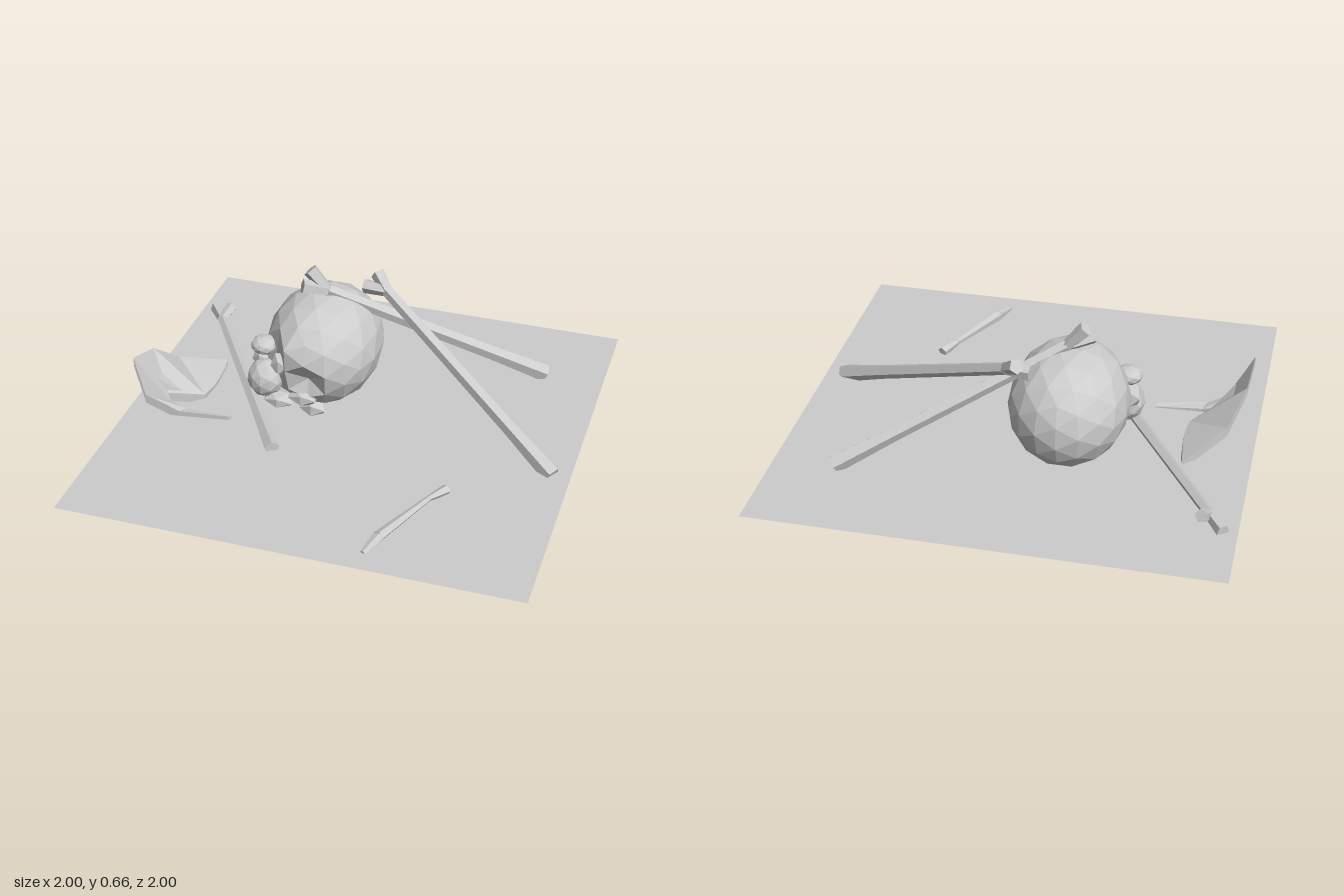
import * as THREE from 'three';

const grey = new THREE.MeshStandardMaterial({ color: 0xcccccc, flatShading: true, side: THREE.DoubleSide });
grey.name = 'boneGrey';

const V = (p) => new THREE.Vector3(...p);

function add(group, geometry, name) {
  const mesh = new THREE.Mesh(geometry, grey);
  mesh.name = name;
  group.add(mesh);
  return mesh;
}

// Tapered five-sided rod from a to b
function rod(group, name, a, b, ra, rb) {
  const from = V(a), to = V(b);
  const dir = to.clone().sub(from);
  const mesh = add(group, new THREE.CylinderGeometry(rb, ra, dir.length(), 5), name);
  mesh.position.copy(from).add(to).multiplyScalar(0.5);
  mesh.quaternion.setFromUnitVectors(new THREE.Vector3(0, 1, 0), dir.normalize());
}

// Long bone: slim shaft flaring at the far end, forked knuckles at the near end
function bone(group, name, neck, end, lobes, r) {
  const g = new THREE.Group();
  g.name = name;
  const a = V(neck), b = V(end);
  const mid = a.clone().lerp(b, 0.75).toArray();
  rod(g, 'shaft', neck, mid, r * 0.85, r);
  rod(g, 'shaftEnd', mid, end, r, r * 1.25);
  for (const tip of lobes) rod(g, 'knuckle', neck, tip, r * 0.8, r * 1.05);
  group.add(g);
}

// Faceted ellipsoid, with soft pushes [x, y, z, radius, dx, dy, dz]
function lump(group, name, centre, radii, detail, pushes = []) {
  const geo = new THREE.IcosahedronGeometry(1, detail);
  const pos = geo.attributes.position;
  const v = new THREE.Vector3();
  for (let i = 0; i < pos.count; i++) {
    v.fromBufferAttribute(pos, i);
    v.z = Math.sign(v.z) * Math.abs(v.z) ** 0.88;
    v.multiply(V(radii)).add(V(centre));
    const start = v.clone();
    for (const [x, y, z, r, dx, dy, dz] of pushes) {
      const k = Math.exp(-start.distanceToSquared(new THREE.Vector3(x, y, z)) / (r * r));
      v.add(new THREE.Vector3(dx, dy, dz).multiplyScalar(k));
    }
    pos.setXYZ(i, v.x, v.y, v.z);
  }
  geo.computeVertexNormals();
  return add(group, geo, name);
}

// Closed skin through rings of equal point count, capped at both ends
function loft(rings) {
  const n = rings[0].length, idx = [];
  for (let s = 0; s < rings.length - 1; s++) {
    for (let i = 0; i < n; i++) {
      const a = s * n + i, b = s * n + (i + 1) % n;
      idx.push(a, b, a + n, b, b + n, a + n);
    }
  }
  const last = (rings.length - 1) * n;
  for (let i = 1; i < n - 1; i++) idx.push(0, i + 1, i, last, last + i, last + i + 1);
  const geo = new THREE.BufferGeometry();
  geo.setAttribute('position', new THREE.Float32BufferAttribute(rings.flat(2), 3));
  geo.setIndex(idx);
  geo.computeVertexNormals();
  return geo;
}

export function createModel() {
  const model = new THREE.Group();
  model.name = 'bonePile';

  // Ground sheet, with the undersides of the bones sunk through it
  const ground = add(model, new THREE.PlaneGeometry(2, 2), 'ground');
  ground.rotation.x = -Math.PI / 2;
  ground.position.y = 0.045;

  // Skull tilted on its side, with sunken sockets and nose
  const skull = new THREE.Group();
  skull.name = 'skull';
  lump(skull, 'cranium', [-0.215, 0.28, -0.21], [0.26, 0.26, 0.315], 2, [
    [-0.2, 0.22, 0.1, 0.06, 0, 0, -0.08],
    [-0.41, 0.36, 0.0, 0.06, 0.03, 0, -0.06],
    [-0.35, 0.24, 0.04, 0.05, 0.02, 0, -0.04],
    [-0.31, 0.37, 0.06, 0.06, -0.01, 0, 0.02],
  ]);
  lump(skull, 'upperJaw', [-0.425, 0.18, 0.0], [0.085, 0.09, 0.085], 1);
  lump(skull, 'browRidge', [-0.44, 0.33, -0.03], [0.06, 0.04, 0.06], 1);
  lump(skull, 'noseBridge', [-0.34, 0.29, 0.04], [0.045, 0.06, 0.045], 0);
  lump(skull, 'cheekBone', [-0.24, 0.13, 0.03], [0.075, 0.045, 0.05], 0);
  lump(skull, 'farCheekBone', [-0.46, 0.25, -0.06], [0.045, 0.06, 0.06], 0);
  lump(skull, 'teeth', [-0.35, 0.1, 0.03], [0.08, 0.04, 0.06], 0);
  lump(skull, 'skullBase', [-0.2, 0.07, 0.0], [0.07, 0.05, 0.06], 0);
  model.add(skull);

  // Lower jaw: a bent strip given by its outer and inner edges
  const edges = [
    [[-0.54, 0.06, 0.19], [-0.53, 0.05, 0.17]],
    [[-0.76, 0.07, 0.225], [-0.74, 0.06, 0.18]],
    [[-0.91, 0.14, 0.24], [-0.82, 0.08, 0.175]],
    [[-0.955, 0.325, 0.24], [-0.83, 0.12, 0.17]],
    [[-0.94, 0.27, 0.06], [-0.7, 0.065, 0.06]],
    [[-0.88, 0.15, -0.08], [-0.69, 0.06, -0.05]],
    [[-0.71, 0.06, -0.25], [-0.7, 0.05, -0.2]],
  ];
  const drop = ([x, y, z]) => [x, Math.max(y - 0.045, 0.015), z];
  add(model, loft(edges.map(([o, i]) => [o, i, drop(i), drop(o)])), 'lowerJaw');

  // Two long bones leaning over the skull and one lying flat
  bone(model, 'leaningBoneBack', [-0.2, 0.55, -0.21], [0.73, 0.06, -0.585],
    [[-0.28, 0.64, -0.21], [-0.3, 0.58, -0.16]], 0.033);
  bone(model, 'leaningBoneFront', [0.03, 0.5, -0.365], [0.92, 0.04, 0.16],
    [[-0.03, 0.55, -0.42], [-0.08, 0.5, -0.38]], 0.033);
  bone(model, 'lyingBone', [-0.87, 0.06, -0.59], [-0.275, 0.055, 0.35],
    [[-0.94, 0.055, -0.69], [-0.845, 0.095, -0.66]], 0.028);

  // Small arched bone at the front
  const small = new THREE.Group();
  small.name = 'smallBone';
  rod(small, 'knuckle', [0.52, 0.055, 0.41], [0.47, 0.065, 0.5], 0.025, 0.013);
  rod(small, 'shaft', [0.47, 0.065, 0.5], [0.34, 0.06, 0.8], 0.013, 0.025);
  rod(small, 'tip', [0.34, 0.06, 0.8], [0.305, 0.045, 0.9], 0.025, 0.012);
  model.add(small);

  return model;
}
